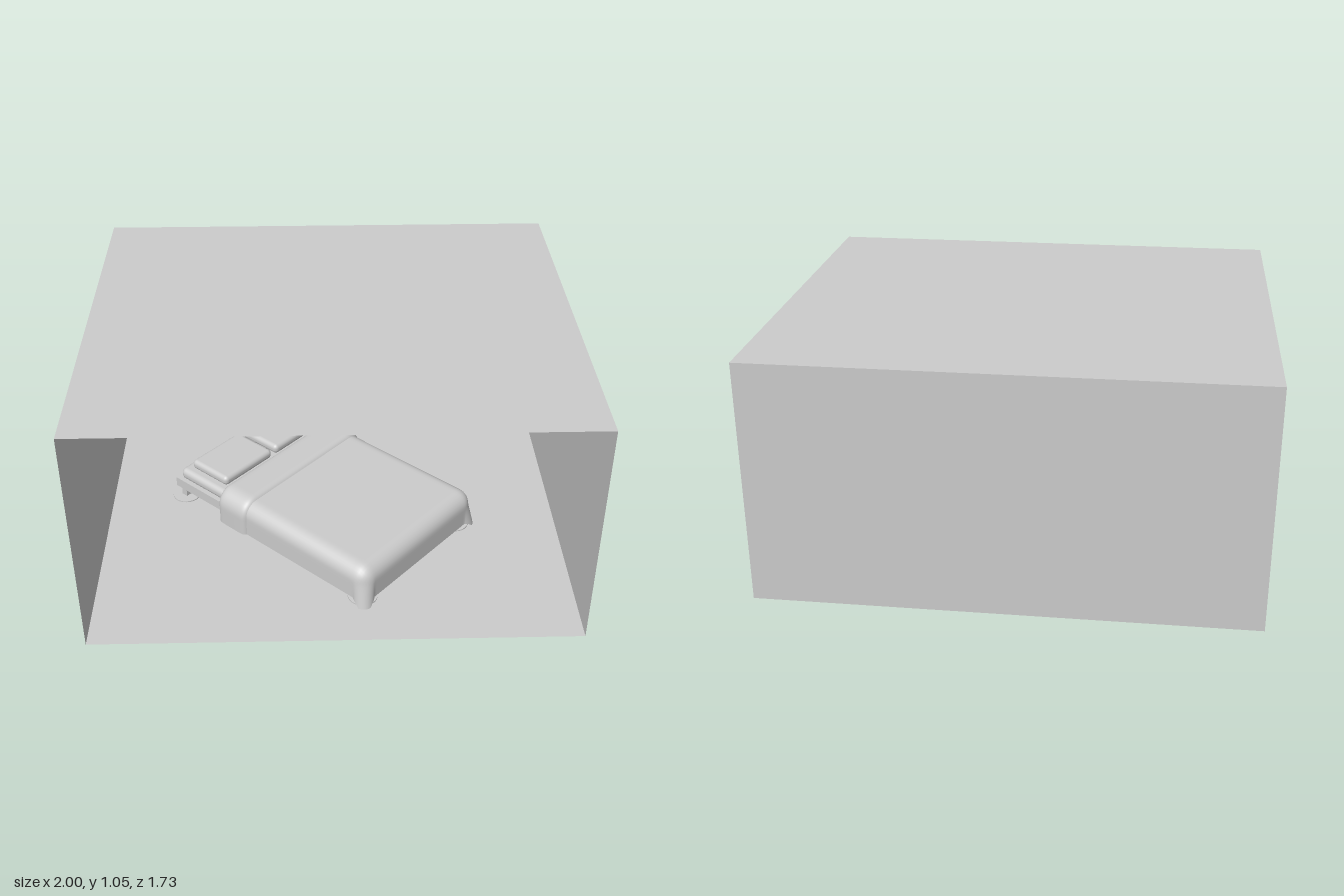
import * as THREE from 'three';
import { RoundedBoxGeometry } from 'three/addons/geometries/RoundedBoxGeometry.js';

const grey = new THREE.MeshStandardMaterial({ color: 0xcccccc });
const greyThin = new THREE.MeshStandardMaterial({ color: 0xcccccc, side: THREE.DoubleSide });

function add(parent, name, geometry, x = 0, y = 0, z = 0, material = grey) {
  const mesh = new THREE.Mesh(geometry, material);
  mesh.name = name;
  mesh.position.set(x, y, z);
  parent.add(mesh);
  return mesh;
}

// Cloth laid flat over a rectangle; whatever passes its edge bends down round
// radius R and hangs, so the square corners become long pointed tips.
const W = 0.315, FOOT = 0.525, R = 0.065, DROP = 0.19, ARC = R * Math.PI / 2;

function drape(z0, z1, top, swell) {
  const width = 2 * (W + DROP), depth = z1 - z0;
  const g = new THREE.PlaneGeometry(width, depth, 80, 60);
  g.rotateX(-Math.PI / 2);
  g.translate(0, 0, (z0 + z1) / 2);
  const p = g.attributes.position;
  for (let i = 0; i < p.count; i++) {
    const a = p.getX(i), b = p.getZ(i);
    const cx = THREE.MathUtils.clamp(a, -W, W), cz = Math.min(b, FOOT);
    const dx = a - cx, dz = b - cz, d = Math.hypot(dx, dz);
    const nx = d ? dx / d : 0, nz = d ? dz / d : 0;
    const bend = Math.min(d, ARC) / R, hang = Math.max(0, d - ARC);
    const s = swell((b - z0) / depth);
    const flare = 2 * Math.abs(nx * nz) * hang * 0.25;
    const out = (R + s) * Math.sin(bend) + flare;
    const y = top(b) - R + (R + s) * Math.cos(bend) - hang;
    p.setXYZ(i, cx + nx * out, y, cz + nz * out);
  }
  g.computeVertexNormals();
  return g;
}

export function createModel() {
  const model = new THREE.Group();
  model.name = 'bedroom';

  // Thin room shell, open at the front
  const shell = new THREE.BoxGeometry(2, 1, 1.73);
  shell.setIndex([...shell.index.array].filter((v, i) => i < 24 || i >= 30));
  shell.clearGroups();
  add(model, 'roomShell', shell, 0, 0.55, 0, greyThin);

  // Flat wedge-shaped panel on the side wall
  const wedge = new THREE.Shape([
    new THREE.Vector2(-0.68, 0.74), new THREE.Vector2(0.3, 0.74), new THREE.Vector2(0.3, 0.87),
  ]);
  add(model, 'wallPanel', new THREE.ShapeGeometry(wedge), -0.997, 0, 0, greyThin).rotation.y = Math.PI / 2;

  // Bed, turned diagonally: its foot end is local +z
  const bed = new THREE.Group();
  bed.name = 'bed';
  bed.position.set(-0.06, 0, 0.01);
  bed.rotation.y = 0.832;
  model.add(bed);

  add(bed, 'bedFrame', new THREE.BoxGeometry(0.72, 0.045, 1.1), 0, 0.138, 0);
  for (const x of [-0.32, 0.32]) {
    for (const z of [-0.53, 0.53]) {
      add(bed, 'legPost', new THREE.BoxGeometry(0.03, 0.075, 0.03), x, 0.085, z);
      add(bed, 'legFoot', new THREE.CylinderGeometry(0.063, 0.063, 0.012, 24), x, 0.049, z);
    }
  }
  add(bed, 'mattress', new RoundedBoxGeometry(0.7, 0.056, 1.06, 4, 0.025), 0, 0.188, 0);

  // Two pillows, thinner towards their edges
  for (const x of [-0.162, 0.162]) {
    const g = new RoundedBoxGeometry(0.3, 0.046, 0.22, 5, 0.02);
    add(bed, 'pillow', g, x, 0.237, -0.38);
  }

  // Duvet and the band folded back at its head end
  const top = (z) => 0.237 - 0.012 * z;
  add(bed, 'duvet', drape(-0.22, FOOT + DROP, top, () => 0), 0, 0, 0, greyThin);
  const roll = (t) => 0.014 - 0.045 * Math.pow(Math.abs(2 * t - 1), 8);
  add(bed, 'duvetFold', drape(-0.26, -0.07, top, roll), 0, 0, 0, greyThin);

  return model;
}
